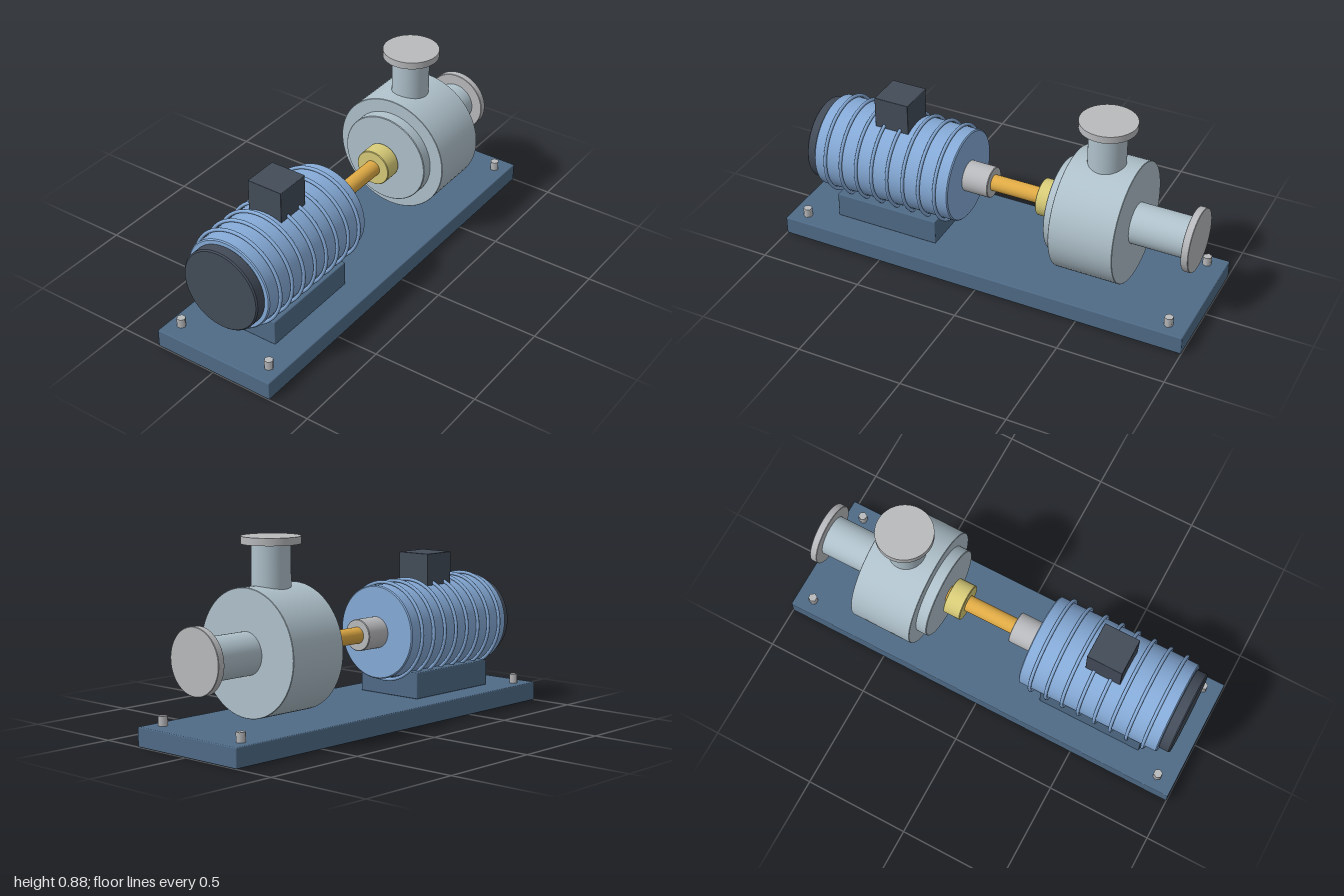
import * as THREE from 'three';
import { RoundedBoxGeometry } from 'three/addons/geometries/RoundedBoxGeometry.js';

const AXIS_Y = 0.393; // height of the shared shaft line

const paint = (color) => new THREE.MeshStandardMaterial({ color });
const steelBlue = paint(0x4f6b87);
const motorBlue = paint(0x86abd8);
const darkGrey = paint(0x434c59);
const casingGrey = paint(0xb0c2cc);
const flangeGrey = paint(0xb9babd);
const shaftGold = paint(0xe0ab45);
const couplingYellow = paint(0xd8cc78);

export function createModel() {
  const model = new THREE.Group();
  model.name = 'pumpSet';

  const add = (name, geometry, material, x = 0, y = 0, z = 0) => {
    const mesh = new THREE.Mesh(geometry, material);
    mesh.name = name;
    mesh.position.set(x, y, z);
    model.add(mesh);
    return mesh;
  };

  // Rounded block given by its lower and upper limits
  const block = (name, material, x0, x1, y0, y1, depth, round = 0.005) =>
    add(name, new RoundedBoxGeometry(x1 - x0, y1 - y0, depth, 2, round),
      material, (x0 + x1) / 2, (y0 + y1) / 2, 0);

  // Drum along the shaft line, from x0 to x1, with a small chamfer on both rims
  const drum = (name, material, x0, x1, radius, chamfer = 0.003) => {
    const h = (x1 - x0) / 2;
    const corners = [[0, -h], [radius - chamfer, -h], [radius, -h + chamfer],
      [radius, h - chamfer], [radius - chamfer, h], [0, h]];
    // corners are doubled so that the edges stay crisp
    const points = corners.flatMap(([r, y]) => [new THREE.Vector2(r, y), new THREE.Vector2(r, y)]);
    const geometry = new THREE.BufferGeometry();
    const lathe = new THREE.LatheGeometry(points.slice(1, -1), 64);
    geometry.copy(lathe.toNonIndexed());
    geometry.deleteAttribute('normal');
    geometry.computeVertexNormals();
    smoothRound(geometry);
    geometry.rotateZ(-Math.PI / 2);
    return add(name, geometry, material, (x0 + x1) / 2, AXIS_Y, 0);
  };

  // Base plate and motor foot
  block('basePlate', steelBlue, -1, 1, 0, 0.088, 0.606);
  block('motorFoot', steelBlue, -0.785, -0.268, 0.088, 0.21, 0.346);

  // Hexagonal anchor bolts
  for (const x of [-0.915, 0.913]) {
    for (const z of [-0.239, 0.239]) {
      add('anchorBolt', new THREE.CylinderGeometry(0.021, 0.021, 0.046, 6).toNonIndexed(),
        flangeGrey, x, 0.108, z);
    }
  }

  // Motor with cooling rings, end cover and terminal box
  drum('motorBody', motorBlue, -0.872, -0.178, 0.217, 0.005);
  drum('motorEndCover', darkGrey, -0.925, -0.868, 0.195, 0.006);
  for (let i = 0; i < 8; i++) {
    const ring = add('coolingRing', new THREE.TorusGeometry(0.227, 0.008, 10, 64),
      motorBlue, -0.807 + i * 0.081, AXIS_Y, 0);
    ring.rotation.y = Math.PI / 2;
  }
  block('terminalBox', darkGrey, -0.61, -0.44, 0.58, 0.741, 0.174, 0.003);

  // Drive train
  drum('motorHub', flangeGrey, -0.18, -0.05, 0.073);
  drum('shaft', shaftGold, -0.06, 0.31, 0.038, 0.001);
  drum('coupling', couplingYellow, 0.195, 0.28, 0.086);

  // Pump casing
  drum('casingCover', casingGrey, 0.295, 0.36, 0.217);
  drum('pumpCasing', casingGrey, 0.348, 0.65, 0.282, 0.002);

  // Suction branch along the axis
  drum('suctionPipe', casingGrey, 0.64, 0.915, 0.095, 0.001);
  drum('suctionFlange', flangeGrey, 0.912, 0.946, 0.147, 0.002);

  // Discharge branch pointing up
  add('dischargePipe', new THREE.CylinderGeometry(0.086, 0.086, 0.25, 64),
    casingGrey, 0.498, 0.73, 0);
  add('dischargeFlange', new THREE.CylinderGeometry(0.13, 0.13, 0.033, 64),
    flangeGrey, 0.498, 0.868, 0);

  return model;
}

// Turns flat facet normals of a lathed part into round ones, keeping each band's slope
function smoothRound(geometry) {
  const position = geometry.attributes.position;
  const normal = geometry.attributes.normal;
  for (let i = 0; i < position.count; i++) {
    const r = Math.hypot(position.getX(i), position.getZ(i));
    const slope = Math.hypot(normal.getX(i), normal.getZ(i));
    if (r < 1e-6 || slope < 1e-4) continue;
    normal.setXYZ(i, slope * position.getX(i) / r, normal.getY(i), slope * position.getZ(i) / r);
  }
}
